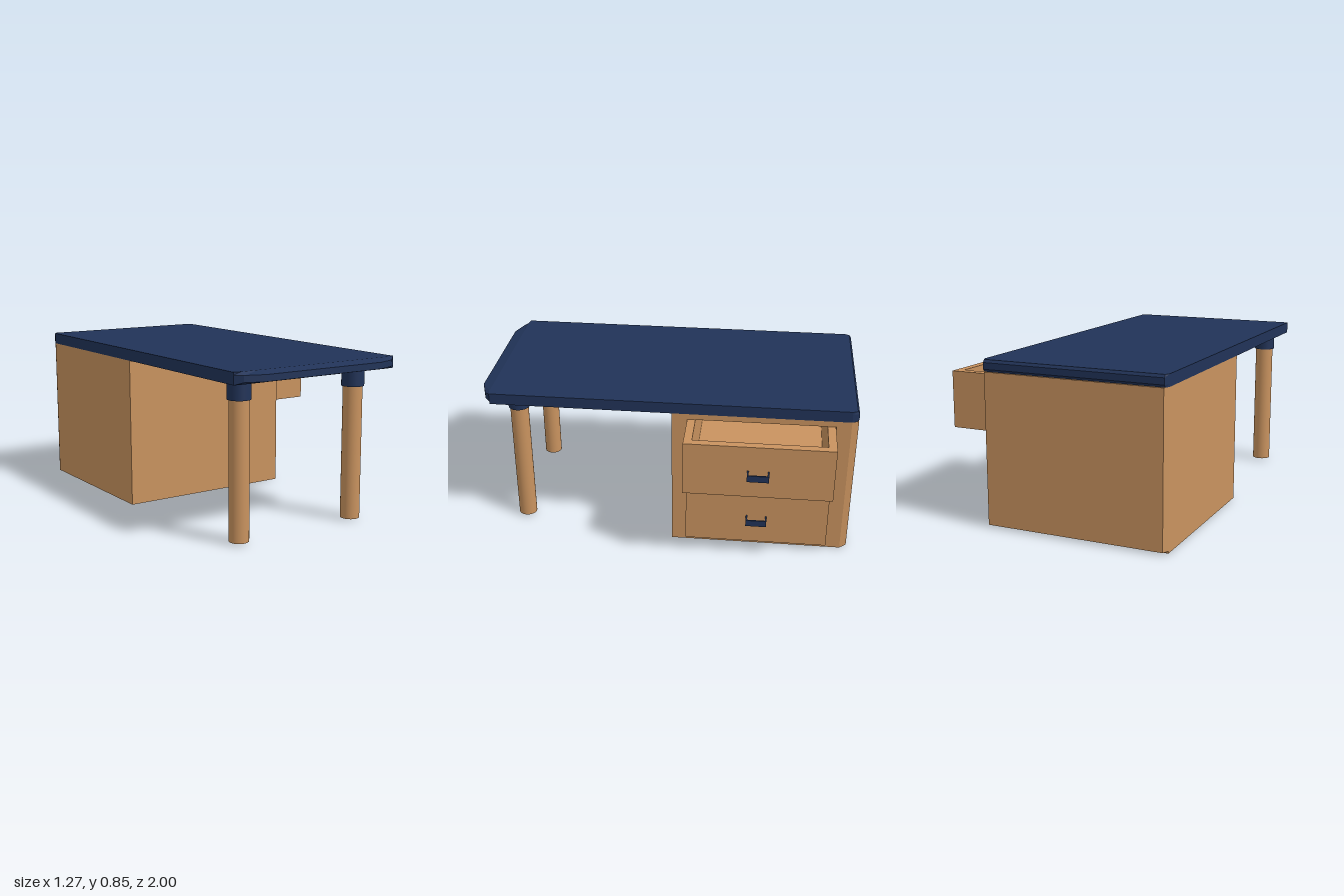
import * as THREE from 'three';

const wood = new THREE.MeshStandardMaterial({ color: 0xc9935f });
wood.name = 'wood';
const navy = new THREE.MeshStandardMaterial({ color: 0x213358 });
navy.name = 'navy';

const X0 = -0.637, X1 = 0.337;

function add(parent, name, geometry, material, x = 0, y = 0, z = 0) {
  const mesh = new THREE.Mesh(geometry, material);
  mesh.name = name;
  mesh.position.set(x, y, z);
  parent.add(mesh);
  return mesh;
}

// Box given by its minimum and maximum corners
function block(parent, name, material, a, b) {
  const size = a.map((v, i) => b[i] - v);
  const mid = a.map((v, i) => (b[i] + v) / 2);
  return add(parent, name, new THREE.BoxGeometry(...size), material, ...mid);
}

// Closed flat-shaded solid through stacked rings { y, pts: [x, z] };
// group 0 is sides and top, group 1 the underside
function loft(rings) {
  const pos = [];
  const put = (ring, i) => {
    const p = ring.pts[i % ring.pts.length];
    pos.push(p[0], ring.y, p[1]);
  };
  const n = rings[0].pts.length, top = rings[rings.length - 1], bottom = rings[0];
  for (let r = 0; r < rings.length - 1; r++) {
    const lo = rings[r], hi = rings[r + 1];
    for (let i = 0; i < n; i++) {
      put(lo, i); put(lo, i + 1); put(hi, i + 1);
      put(lo, i); put(hi, i + 1); put(hi, i);
    }
  }
  for (let i = 1; i < n - 1; i++) { put(top, 0); put(top, i); put(top, i + 1); }
  const split = pos.length / 3;
  for (let i = 1; i < n - 1; i++) { put(bottom, 0); put(bottom, i + 1); put(bottom, i); }
  const g = new THREE.BufferGeometry();
  g.setAttribute('position', new THREE.Float32BufferAttribute(pos, 3));
  g.addGroup(0, split, 0);
  g.addGroup(split, pos.length / 3 - split, 1);
  g.computeVertexNormals();
  return g;
}

// Table top with a softened front edge
function tableTop(parent) {
  const outline = [[X0, 0.935], [-0.60, 0.965], [-0.50, 1], [0.20, 1], [0.30, 0.965], [X1, 0.935],
    [X1, -0.965], [0.325, -1], [-0.625, -1], [X0, -0.965]];
  const inset = outline.map(([x, z]) => [x, Math.max(-0.99, Math.min(z, 0.94))]);
  add(parent, 'tableTop', loft([
    { y: 0.79, pts: inset }, { y: 0.803, pts: outline },
    { y: 0.836, pts: outline }, { y: 0.85, pts: inset },
  ]), [navy, wood]);
}

// Hollow cabinet with two drawer openings on its left side
function cabinet(parent) {
  const plan = [[0.297, 0.035], [X0, 0.035], [X0, 0.965], [-0.622, 1], [0.322, 1], [X1, 0.965],
    [0.297, 0.965], [0.297, 0.96], [-0.597, 0.96], [-0.597, 0.075], [0.297, 0.075]];
  const walls = new THREE.ExtrudeGeometry(new THREE.Shape(plan.map(p => new THREE.Vector2(...p))),
    { depth: 0.778, bevelEnabled: false });
  walls.rotateX(-Math.PI / 2);
  add(parent, 'cabinetWalls', walls, wood, 0, 0.012, 0);

  const rect = (Kind, u0, v0, u1, v1) => new Kind([[u0, v0], [u1, v0], [u1, v1], [u0, v1]]
    .map(p => new THREE.Vector2(...p)));
  const face = rect(THREE.Shape, 0.035, 0.012, 0.965, 0.79);
  for (const [y0, y1] of [[0.034, 0.36], [0.463, 0.759]]) {
    face.holes.push(rect(THREE.Path, 0.114, y0, 0.887, y1));
  }
  const panel = new THREE.ExtrudeGeometry(face, { depth: 0.04, bevelEnabled: false });
  panel.rotateY(Math.PI / 2);
  add(parent, 'cabinetFace', panel, wood, 0.297, 0, 0);

  const base = [[X0, -0.035], [X1, -0.035], [X1, -0.965], [0.322, -1], [-0.622, -1], [X0, -0.965]];
  const under = base.map(([x, z]) => [x, Math.max(z, -0.965)]);
  under[3][0] = 0.32;
  under[4][0] = -0.62;
  add(parent, 'cabinetFloor', loft([{ y: 0, pts: under }, { y: 0.012, pts: base }]), [wood, wood]);
}

// Open-topped drawer with a bracket handle; front is the x of its outer face
function drawer(parent, name, front, y0, y1, handleY) {
  const g = new THREE.Group();
  g.name = name;
  const back = front - 0.9, z0 = -0.885, z1 = -0.116, t = 0.043;
  block(g, 'drawerFloor', wood, [back, y0, z0], [front, y0 + 0.015, z1]);
  block(g, 'drawerFront', wood, [front - t, y0 + 0.015, z0], [front, y1, z1]);
  block(g, 'drawerBack', wood, [back, y0 + 0.015, z0], [back + t, y1, z1]);
  block(g, 'drawerSide', wood, [back + t, y0 + 0.015, z0], [front - t, y1, z0 + t]);
  block(g, 'drawerSide', wood, [back + t, y0 + 0.015, z1 - t], [front - t, y1, z1]);

  const h0 = handleY - 0.018, h1 = handleY + 0.018, end = front + 0.05, w = 0.008;
  block(g, 'handleGrip', navy, [end - w, h0, -0.556], [end, h1, -0.444]);
  for (const z of [-0.556, -0.444 - w]) {
    block(g, 'handlePost', navy, [front, h0, z], [end - w, h1, z + w]);
  }
  parent.add(g);
}

export function createModel() {
  const desk = new THREE.Group();
  desk.name = 'desk';
  tableTop(desk);
  cabinet(desk);
  drawer(desk, 'upperDrawer', 0.585, 0.464, 0.757, 0.602);
  drawer(desk, 'lowerDrawer', 0.375, 0.035, 0.358, 0.186);

  // Round legs with collars
  for (const x of [-0.528, 0.172]) {
    add(desk, 'leg', new THREE.CylinderGeometry(0.05, 0.05, 0.69, 32), wood, x, 0.355, 0.822);
    add(desk, 'legCollar', new THREE.CylinderGeometry(0.058, 0.058, 0.09, 32), navy, x, 0.745, 0.822);
  }
  return desk;
}
